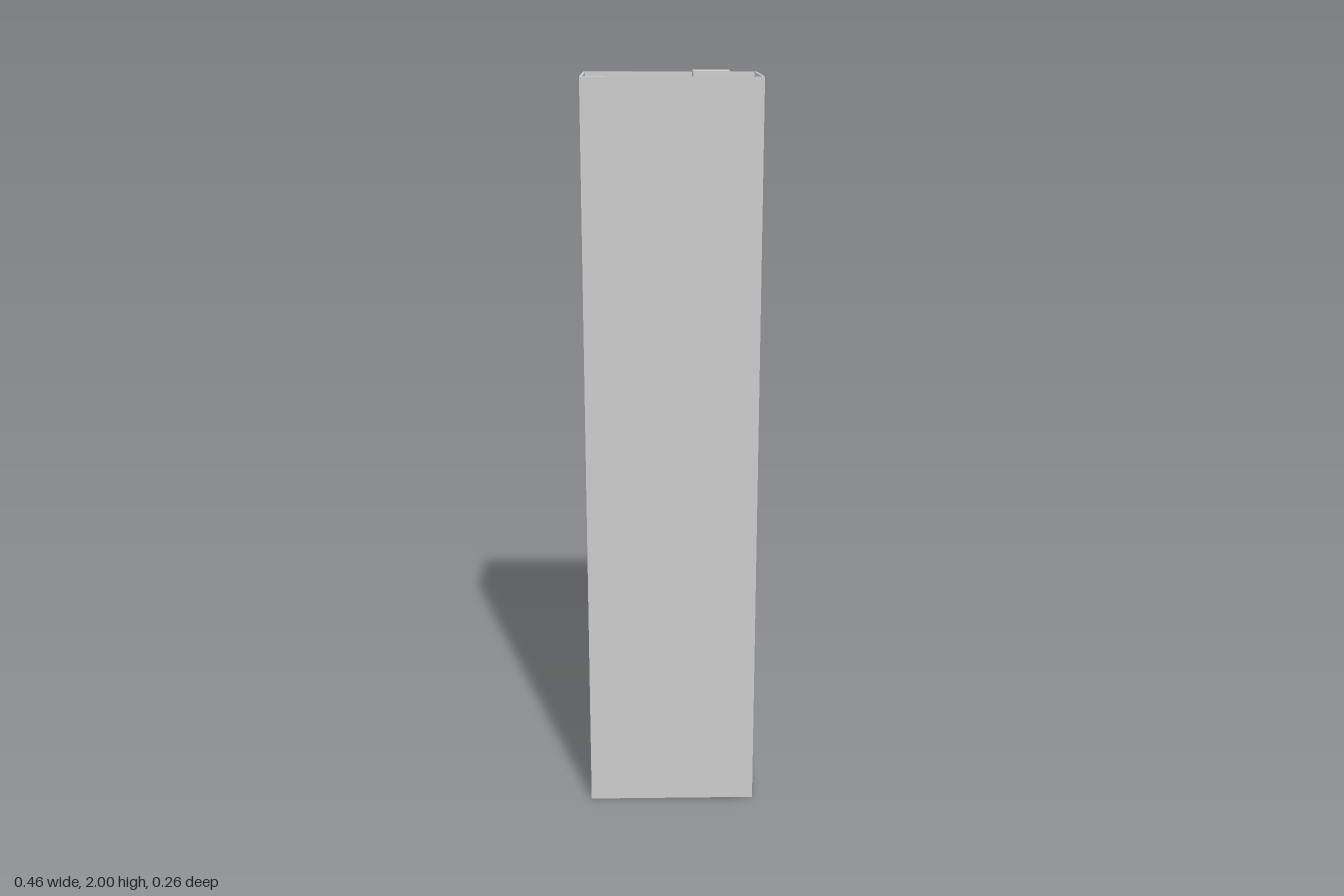
import * as THREE from 'three';

// Joins rectangular rings [halfWidth, halfDepth, y] into flat faces, facing outward as the list climbs
function ringShell(rings) {
  const signs = [[1, 1], [1, -1], [-1, -1], [-1, 1]];
  const corner = ([w, d, y], k) => [signs[k % 4][0] * w, y, signs[k % 4][1] * d];
  const points = [];
  for (let i = 0; i < rings.length - 1; i++) {
    for (let k = 0; k < 4; k++) {
      const a = corner(rings[i], k), b = corner(rings[i], k + 1);
      const c = corner(rings[i + 1], k + 1), d = corner(rings[i + 1], k);
      points.push(...a, ...b, ...c, ...a, ...c, ...d);
    }
  }
  const geometry = new THREE.BufferGeometry();
  geometry.setAttribute('position', new THREE.Float32BufferAttribute(points, 3));
  geometry.computeVertexNormals();
  return geometry;
}

export function createModel() {
  const model = new THREE.Group();
  model.name = 'towerBlock';
  const material = new THREE.MeshStandardMaterial({
    color: 0xcccccc, flatShading: true, side: THREE.DoubleSide,
  });
  const add = (name, geometry, x = 0, y = 0, z = 0) => {
    const mesh = new THREE.Mesh(geometry, material);
    mesh.name = name;
    mesh.position.set(x, y, z);
    model.add(mesh);
  };

  const W = 0.228, D = 0.1315, rim = 0.006, top = 1.991, roofY = 1.969;

  // Hollow walls, open at the bottom, with a thin parapet around the sunken roof
  add('wallsAndParapet', ringShell([
    [W, D, 0], [W, D, top], [W - rim, D - rim, top], [W - rim, D - rim, roofY],
  ]));

  // Flat roof
  const roof = new THREE.PlaneGeometry(2 * (W - rim), 2 * (D - rim)).rotateX(-Math.PI / 2);
  add('roof', roof, 0, roofY, 0);

  // Rooftop units: name, x, z, side, height
  const units = [
    ['largeRoofUnit', 0.102, -0.003, 0.093, 0.031],
    ['mediumRoofUnit', -0.155, 0.06, 0.052, 0.0175],
    ['smallRoofUnit', -0.049, -0.054, 0.033, 0.011],
  ];
  for (const [name, x, z, side, height] of units) {
    add(name, new THREE.BoxGeometry(side, height, side), x, roofY + height / 2, z);
  }
  return model;
}
